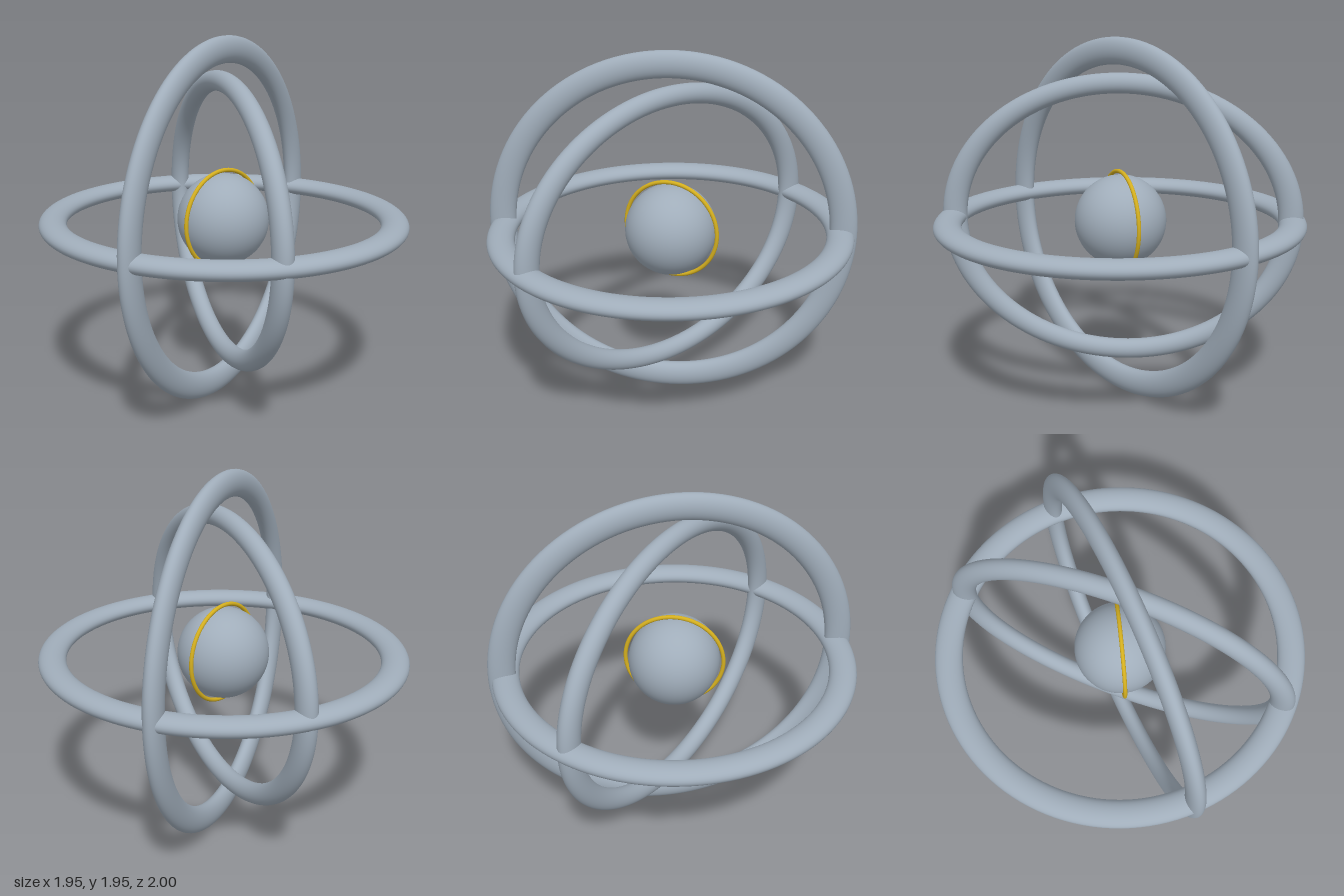
import * as THREE from 'three';

const CENTRE_Y = 0.98;

export function createModel() {
  const model = new THREE.Group();
  const steel = new THREE.MeshStandardMaterial({ color: 0xa0adba });
  steel.name = 'blue grey steel';
  const gold = new THREE.MeshStandardMaterial({ color: 0xd4af1f });
  gold.name = 'gold';

  const add = (name, geometry, material) => {
    const mesh = new THREE.Mesh(geometry, material);
    mesh.name = name;
    mesh.position.y = CENTRE_Y;
    model.add(mesh);
    return mesh;
  };

  // Elliptical ring with a flattened tube: radii of the centre line, radial and axial half widths
  const ring = (name, rx, ry, radial, axial) => {
    const geometry = new THREE.TorusGeometry(rx, radial, 32, 128);
    geometry.scale(1, ry / rx, axial / radial);
    return add(name, geometry, steel);
  };

  // Three large crossing rings
  ring('horizontalRing', 0.904, 0.925, 0.073, 0.048).rotation.x = Math.PI / 2;
  ring('outerUprightRing', 0.923, 0.905, 0.073, 0.048).rotation.y = THREE.MathUtils.degToRad(18.5);
  ring('innerUprightRing', 0.912, 0.739, 0.067, 0.052).rotation.y = THREE.MathUtils.degToRad(63.7);

  // Core ball with its thin gold band
  add('coreSphere', new THREE.SphereGeometry(0.248, 48, 32), steel);
  add('goldBand', new THREE.TorusGeometry(0.267, 0.011, 16, 96), gold);

  return model;
}
